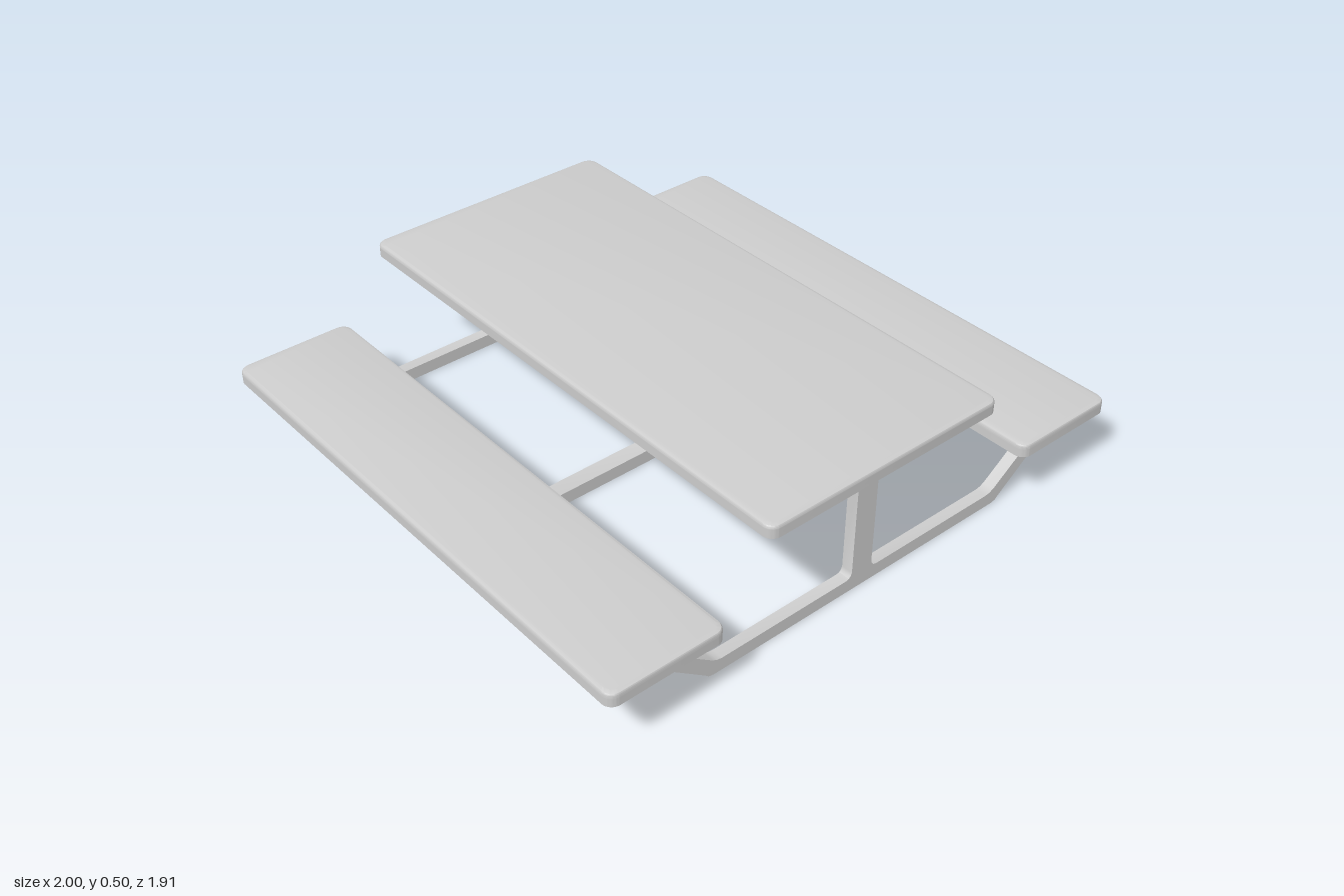
import * as THREE from 'three';
import { toCreasedNormals } from 'three/addons/utils/BufferGeometryUtils.js';

const material = new THREE.MeshStandardMaterial({ color: 0xcccccc });

function addMesh(parent, name, geometry) {
  const mesh = new THREE.Mesh(toCreasedNormals(geometry, 0.5), material);
  mesh.name = name;
  parent.add(mesh);
  return mesh;
}

// Rounded-corner plank with a softened upper rim
function plankGeometry(width, length, height, r) {
  const x = width / 2, y = length / 2, rim = 0.012, steps = 12;
  const s = new THREE.Shape();
  s.moveTo(-x + r, -y);
  s.lineTo(x - r, -y);
  s.absarc(x - r, -y + r, r, -Math.PI / 2, 0);
  s.lineTo(x, y - r);
  s.absarc(x - r, y - r, r, 0, Math.PI / 2);
  s.lineTo(-x + r, y);
  s.absarc(-x + r, y - r, r, Math.PI / 2, Math.PI);
  s.lineTo(-x, -y + r);
  s.absarc(-x + r, -y + r, r, Math.PI, Math.PI * 1.5);
  const g = new THREE.ExtrudeGeometry(s, { depth: height, steps, bevelEnabled: false, curveSegments: 6 });
  // Pull the upper rows inward along a quarter round
  const p = g.attributes.position;
  for (let i = 0; i < p.count; i++) {
    const t = Math.max(0, (p.getZ(i) - (height - rim)) / rim);
    const inset = rim * (1 - Math.sqrt(Math.max(0, 1 - t * t)));
    p.setX(i, p.getX(i) * (1 - inset / x));
    p.setY(i, p.getY(i) * (1 - inset / y));
  }
  return g.rotateX(-Math.PI / 2);
}

function addPlank(parent, name, x0, x1, y0, y1) {
  const mesh = addMesh(parent, name, plankGeometry(x1 - x0, 1.91, y1 - y0, 0.035));
  mesh.position.set((x0 + x1) / 2, y0, 0);
}

// One-piece support: centre post, ground rail, sloping arms and seat rests
function frameGeometry(thickness) {
  const half = [
    [0.04, 0.455], [0.04, 0.066], [0.044, 0.055], [0.051, 0.048], [0.062, 0.045],
    [0.545, 0.045], [0.563, 0.048], [0.58, 0.056],
    [0.775, 0.2], [0.962, 0.2], [0.962, 0.165], [0.802, 0.165],
    [0.605, 0.014], [0.594, 0.004], [0.575, 0],
  ];
  const mirrored = half.map(([x, y]) => [-x, y]).reverse();
  const shape = new THREE.Shape([...half, ...mirrored].map(([x, y]) => new THREE.Vector2(x, y)));
  const g = new THREE.ExtrudeGeometry(shape, { depth: thickness, bevelEnabled: false });
  return g.translate(0, 0, -thickness / 2);
}

export function createModel() {
  const group = new THREE.Group();
  group.name = 'picnicTable';

  addPlank(group, 'tableTop', -0.45, 0.45, 0.46, 0.505);
  addPlank(group, 'rightBench', -1, -0.595, 0.2, 0.247);
  addPlank(group, 'leftBench', 0.605, 1, 0.2, 0.247);

  // Thin frames at the ends, a thicker one in the middle
  const frames = [['frontFrame', 0.86, 0.04], ['middleFrame', 0, 0.058], ['backFrame', -0.86, 0.04]];
  for (const [name, z, thickness] of frames) {
    addMesh(group, name, frameGeometry(thickness)).position.z = z;
  }
  return group;
}
